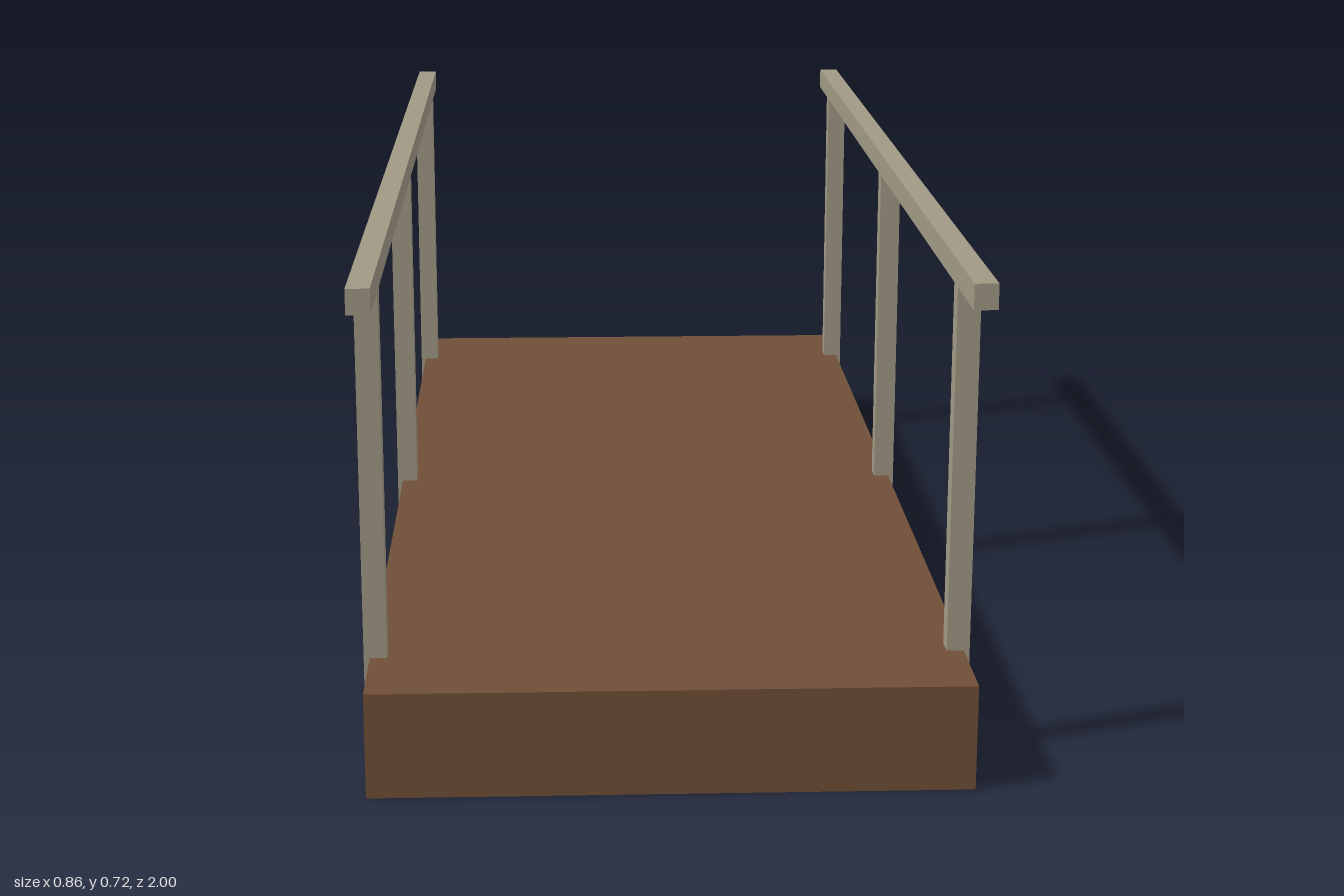
import * as THREE from 'three';

export function createModel() {
  const model = new THREE.Group();
  model.name = 'footbridge';
  const deckWood = new THREE.MeshStandardMaterial({ color: 0x6f4e37 });
  const railWood = new THREE.MeshStandardMaterial({ color: 0xa09884 });

  // Box spanning y0..y1, centred on x and z
  function addBox(parent, name, material, width, depth, y0, y1, x, z) {
    const mesh = new THREE.Mesh(new THREE.BoxGeometry(width, y1 - y0, depth), material);
    mesh.name = name;
    mesh.position.set(x, (y0 + y1) / 2, z);
    parent.add(mesh);
  }

  // Solid walkway slab
  addBox(model, 'deck', deckWood, 0.844, 2, 0, 0.153, 0, 0);

  // Mirrored railings: three posts sunk into the deck edge, under a handrail
  for (const [side, sign] of [['left', 1], ['right', -1]]) {
    const railing = new THREE.Group();
    railing.name = `${side}Railing`;
    const x = sign * 0.414;
    ['front', 'middle', 'back'].forEach((place, i) => {
      addBox(railing, `${place}Post`, railWood, 0.033, 0.033, 0.109, 0.684, x, (1 - i) * 0.847);
    });
    addBox(railing, 'handrail', railWood, 0.033, 2, 0.684, 0.72, x, 0);
    model.add(railing);
  }
  return model;
}
